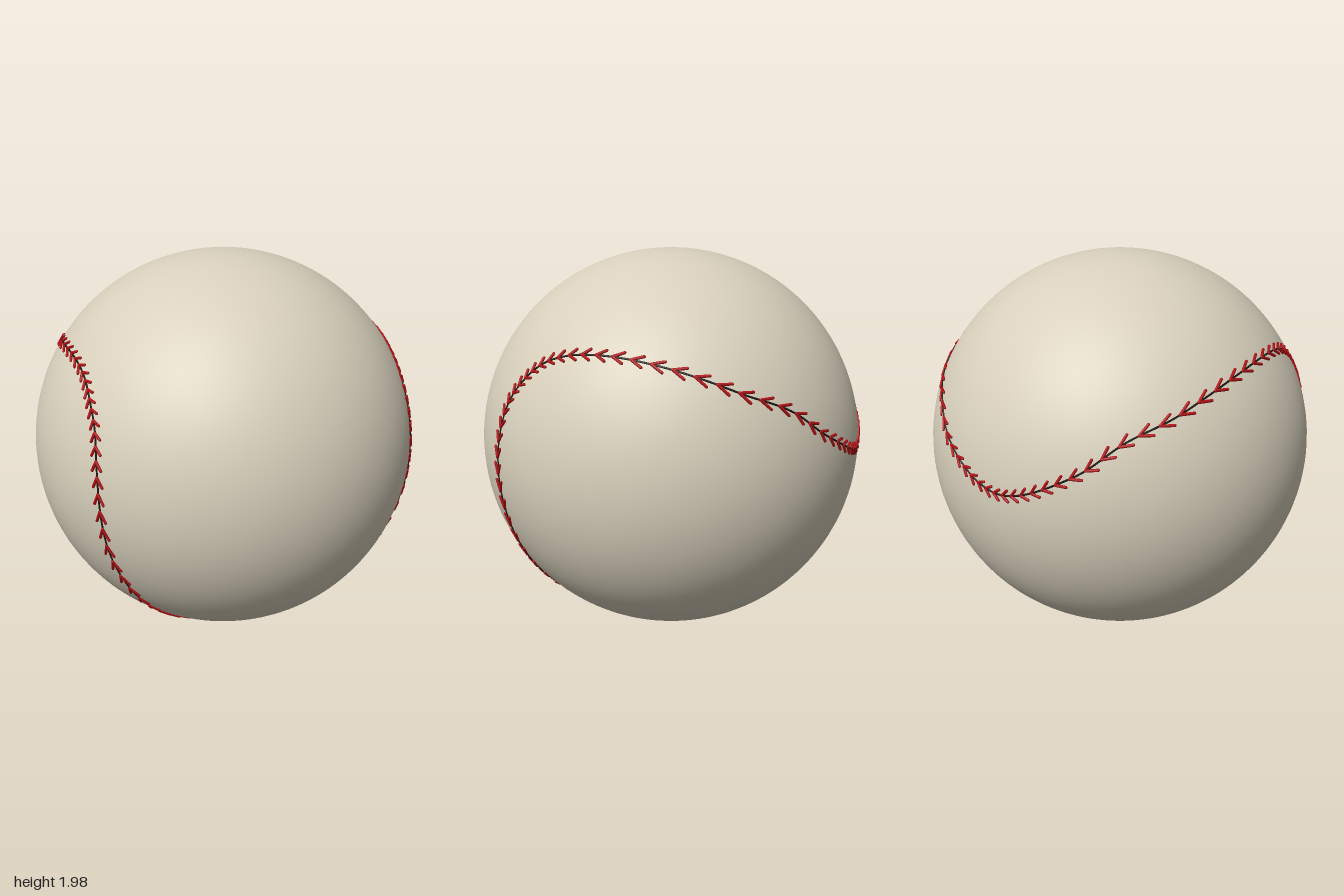
import * as THREE from 'three';
import { mergeGeometries } from 'three/addons/utils/BufferGeometryUtils.js';

const R = 0.988;
const material = (name, color) => {
  const m = new THREE.MeshStandardMaterial({ color });
  m.name = name;
  return m;
};

// Closed seam on the sphere: one half given as (z, y), mirrored in x
function seamCurve() {
  const side = [
    [-0.904, 0.18], [-0.765, 0.33], [-0.6, 0.415], [-0.45, 0.48], [-0.25, 0.54],
    [0, 0.572], [0.19, 0.557], [0.32, 0.51], [0.425, 0.425], [0.505, 0.32],
    [0.56, 0.15], [0.578, -0.03], [0.565, -0.25], [0.53, -0.47], [0.46, -0.68], [0.33, -0.88],
  ];
  const half = side.map(([z, y]) =>
    new THREE.Vector3(Math.sqrt(Math.max(0, R * R - z * z - y * y)), y, z));
  const mirrored = half.map((p) => new THREE.Vector3(-p.x, p.y, p.z)).reverse();
  const points = [new THREE.Vector3(0, 0.04, -R), ...half, new THREE.Vector3(0, -0.975, 0.165), ...mirrored];
  const rough = new THREE.CatmullRomCurve3(points, true, 'centripetal');
  const onBall = rough.getSpacedPoints(160).slice(0, -1).map((p) => p.setLength(R));
  return new THREE.CatmullRomCurve3(onBall, true);
}

// Short thread between two points
function thread(a, b, radius) {
  const dir = b.clone().sub(a);
  const g = new THREE.CapsuleGeometry(radius, dir.length(), 3, 8);
  const q = new THREE.Quaternion().setFromUnitVectors(new THREE.Vector3(0, 1, 0), dir.normalize());
  g.applyQuaternion(q);
  g.translate((a.x + b.x) / 2, (a.y + b.y) / 2, (a.z + b.z) / 2);
  return g;
}

export function createModel() {
  const group = new THREE.Group();
  group.name = 'ball';
  const leather = material('cream leather', 0xd8d0bc);
  const red = material('red thread', 0xb01014);
  const dark = material('dark seam', 0x1c1814);

  // Leather cover
  const cover = new THREE.Mesh(new THREE.SphereGeometry(R, 96, 64), leather);
  cover.name = 'cover';
  group.add(cover);

  // Fine seam line
  const curve = seamCurve();
  const seam = new THREE.Mesh(new THREE.TubeGeometry(curve, 400, 0.005, 6, true), dark);
  seam.name = 'seam';
  group.add(seam);

  // V-shaped stitches, closer together around the four bends
  const parts = [];
  const count = 104;
  for (let i = 0; i < count; i++) {
    const k = (i + 0.5) / count;
    const u = k - 0.35 * Math.sin(8 * Math.PI * k) / (8 * Math.PI);
    const along = 0.045 * (1 - 0.35 * Math.cos(8 * Math.PI * k));
    const p = curve.getPointAt(u);
    const tangent = curve.getTangentAt(u);
    const across = new THREE.Vector3().crossVectors(p, tangent).normalize();
    for (const s of [-1, 1]) {
      const end = p.clone().addScaledVector(tangent, -along).addScaledVector(across, s * 0.026);
      parts.push(thread(p.clone().setLength(R + 0.003), end.setLength(R + 0.003), 0.007));
    }
  }
  const stitches = new THREE.Mesh(mergeGeometries(parts), red);
  stitches.name = 'stitches';
  group.add(stitches);

  group.position.set(0, 1, 0.004);
  const root = new THREE.Group();
  root.name = 'stitchedBall';
  root.add(group);
  return root;
}
